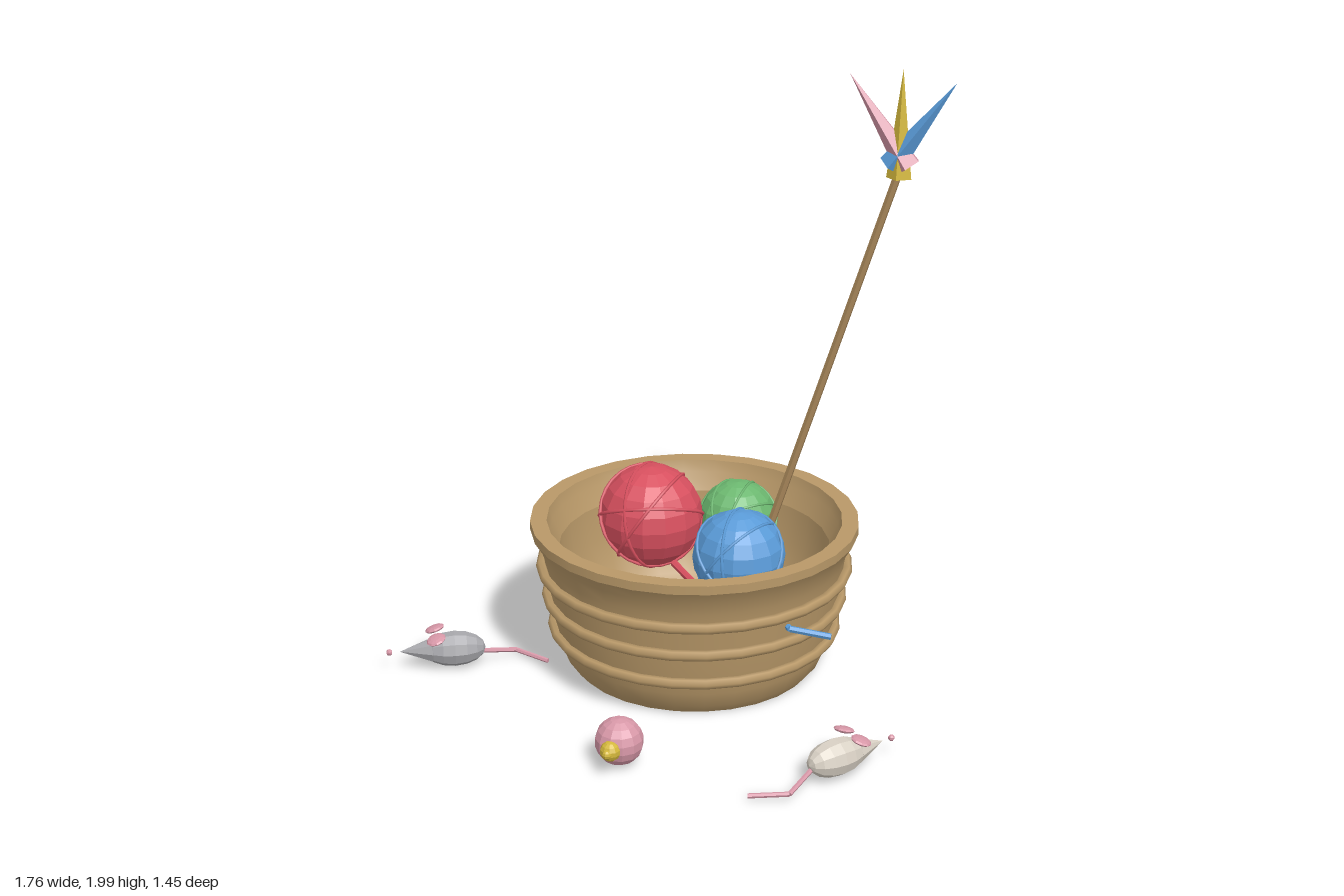
import * as THREE from 'three';

const V = (x, y, z) => new THREE.Vector3(x, y, z);
const mat = (name, color) => {
  const m = new THREE.MeshStandardMaterial({ color });
  m.name = name;
  return m;
};

export function createModel() {
  const tan = mat('wicker tan', 0xb89868);
  const wood = mat('stick brown', 0xa08055);
  const red = mat('red yarn', 0xd8505f);
  const green = mat('green yarn', 0x6cb870);
  const blue = mat('blue yarn', 0x5a9bd8);
  const pink = mat('pink', 0xd898a8);
  const yellow = mat('bell yellow', 0xd4b83c);
  const grey = mat('mouse grey', 0xa8a8ac);
  const cream = mat('mouse cream', 0xd8d0c4);

  const root = new THREE.Group();
  root.name = 'toyBasket';

  const group = (name, parent = root) => {
    const g = new THREE.Group();
    g.name = name;
    parent.add(g);
    return g;
  };
  const add = (parent, name, geo, material, pos = V(0, 0, 0)) => {
    const m = new THREE.Mesh(geo, material);
    m.name = name;
    m.position.copy(pos);
    parent.add(m);
    return m;
  };
  // Faceted copy of a geometry
  const flat = (geo) => {
    const g = geo.toNonIndexed();
    g.computeVertexNormals();
    return g;
  };
  const ball = (r, w = 14, h = 10) => flat(new THREE.SphereGeometry(r, w, h));
  // Straight rod between two points
  const rod = (parent, name, a, b, r, material, sides = 6) => {
    const d = b.clone().sub(a);
    const m = add(parent, name, flat(new THREE.CylinderGeometry(r, r, d.length(), sides)), material,
      a.clone().add(b).multiplyScalar(0.5));
    m.quaternion.setFromUnitVectors(V(0, 1, 0), d.normalize());
    return m;
  };
  const string = (parent, name, pts, r, material) => {
    for (let i = 0; i + 1 < pts.length; i++) rod(parent, name, pts[i], pts[i + 1], r, material);
  };

  // Basket: separate lathed bands keep the rim and base edges crisp
  const basket = group('basket');
  basket.position.set(0.045, 0, -0.17);
  const bands = {
    base: [[0, 0], [0.405, 0]],
    outerWall: [[0.405, 0], [0.435, 0.035], [0.458, 0.09], [0.472, 0.16], [0.487, 0.25],
      [0.5, 0.355], [0.508, 0.4], [0.525, 0.45], [0.55, 0.49]],
    rimSide: [[0.55, 0.49], [0.55, 0.52]],
    rimTop: [[0.55, 0.52], [0.495, 0.52]],
    rimInside: [[0.495, 0.52], [0.485, 0.48], [0.455, 0.42]],
    innerBowl: [[0.455, 0.42], [0.44, 0.3], [0.39, 0.13], [0.3, 0.07], [0, 0.05]],
  };
  for (const [name, pts] of Object.entries(bands)) {
    add(basket, name, new THREE.LatheGeometry(pts.map((p) => new THREE.Vector2(...p)), 28), tan);
  }
  for (const [r, y] of [[0.478, 0.14], [0.497, 0.25], [0.515, 0.355]]) {
    const ring = add(basket, 'wovenRing', new THREE.TorusGeometry(r, 0.018, 6, 28), tan, V(0, y, 0));
    ring.rotation.x = Math.PI / 2;
  }

  // Yarn balls with wrapped strands and a loose end
  const yarn = (name, material, x, y, z, r, turn) => {
    const g = group(name);
    g.position.set(x, y, z);
    add(g, 'yarnBall', ball(r), material);
    for (let i = 0; i < 4; i++) {
      const wrap = add(g, 'yarnStrand', new THREE.TorusGeometry(r * 1.0, r * 0.035, 5, 28), material);
      wrap.rotation.set(1.1 + i * 0.45, turn + i * 0.8, i * 0.6);
    }
    string(g, 'looseEnd', [V(0.65, -0.72, 0.45), V(1.58, -0.9, 1.2), V(2.43, -1, 1.04)]
      .map((p) => p.multiplyScalar(r)), r * 0.07, material);
  };
  yarn('redYarn', red, -0.147, 0.46, -0.256, 0.177, 0.2);
  yarn('greenYarn', green, 0.1, 0.412, -0.445, 0.133, 0.5);
  yarn('blueYarn', blue, 0.232, 0.44, -0.095, 0.155, 0.9);

  // Feather wand leaning out of the basket
  const wand = group('featherWand');
  rod(wand, 'stick', V(0.17, 0.18, -0.33), V(0.583, 1.66, -0.628), 0.014, wood);
  for (const [material, x, y, tilt] of [[pink, 0.508, 1.815, 0.62], [yellow, 0.583, 1.81, 0], [blue, 0.658, 1.815, -0.62]]) {
    const f = add(wand, 'feather', flat(new THREE.ConeGeometry(0.045, 0.36, 5)), material, V(x, y, -0.628));
    f.rotation.z = tilt;
  }

  // Toy mice, modelled facing +z and then turned
  const mouse = (name, material, x, z, fx, fz) => {
    const g = group(name);
    g.position.set(x, 0.065, z);
    g.rotation.y = Math.atan2(fx, fz);
    add(g, 'body', ball(0.06, 10, 8).rotateX(Math.PI / 2).scale(1, 1, 1.75), material);
    add(g, 'snout', flat(new THREE.ConeGeometry(0.043, 0.11, 8)).rotateX(Math.PI / 2), material, V(0, 0, 0.13));
    add(g, 'nose', ball(0.011, 6, 5), pink, V(0, 0, 0.22));
    for (const s of [-1, 1]) {
      const ear = add(g, 'ear', ball(0.034, 10, 6).scale(1, 0.3, 1), pink, V(s * 0.043, 0.058, 0.063));
      ear.rotation.set(0.3, 0, -s * 0.15);
    }
    string(g, 'tail', [V(0, -0.015, -0.095), V(-0.044, -0.042, -0.212), V(0.034, -0.053, -0.313)], 0.008, pink);
  };
  mouse('greyMouse', grey, -0.68, 0.2, -0.865, 0.5);
  mouse('creamMouse', cream, 0.75, 0.43, 0.563, -0.826);

  // Pink ball with a bell
  const bellBall = group('bellBall');
  bellBall.position.set(0.097, 0.083, 0.613);
  add(bellBall, 'ball', ball(0.078, 12, 9), pink);
  add(bellBall, 'bell', ball(0.033, 10, 7), yellow, V(0, 0, 0.072));
  add(bellBall, 'bellKnob', ball(0.016, 8, 6), yellow, V(0, 0, 0.098));

  return root;
}
